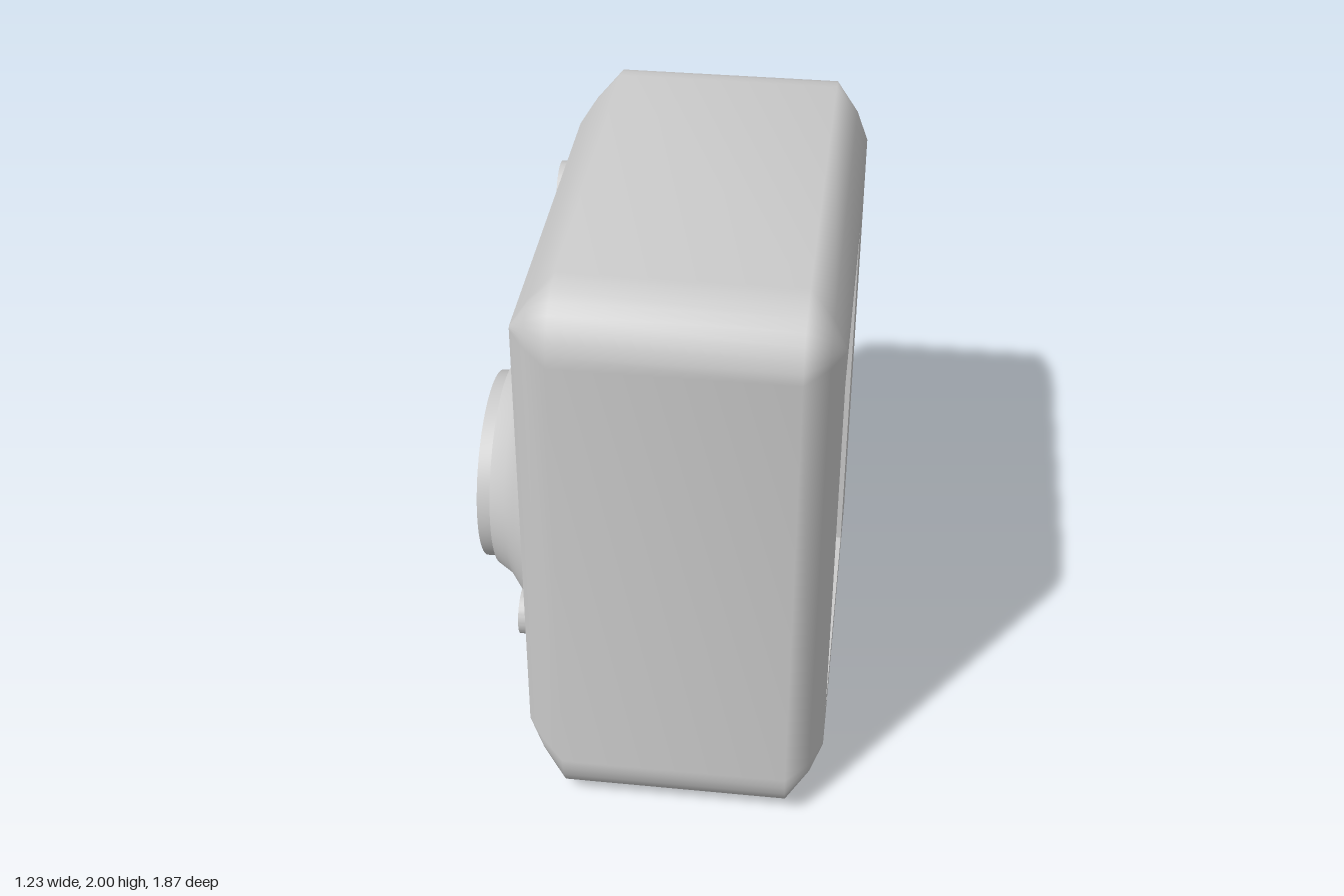
import * as THREE from 'three';
import { toCreasedNormals } from 'three/addons/utils/BufferGeometryUtils.js';

const grey = new THREE.MeshStandardMaterial({ color: 0xcccccc });
const clamp = THREE.MathUtils.clamp;
const PANEL = { z0: -0.26, z1: 0.66, y0: 0.3, y1: 1.63 };

function add(group, name, geometry) {
  const mesh = new THREE.Mesh(geometry, grey);
  mesh.name = name;
  group.add(mesh);
}

// How far the back wall swells outward at height y (finger grip)
function swell(y) {
  const steps = [[0, 0.13], [0.25, 0.13], [0.55, 0.11], [1, 0.05], [1.33, 0], [2, 0]];
  for (let i = 1; i < steps.length; i++) {
    const [ya, a] = steps[i - 1], [yb, b] = steps[i];
    if (y <= yb) return THREE.MathUtils.lerp(a, b, (y - ya) / (yb - ya));
  }
  return 0;
}

// Side outline as [z, y] points, inset by d; the swell only shows on the outermost outline
function outline(d, swollen) {
  const points = [], r = 0.205 - d, n = 8;
  const z0 = -0.8 + d, z1 = 0.935 - d, y0 = d, y1 = 2 - d;
  const corners = [[z1 - r, y0 + r, -90], [z1 - r, y1 - r, 0], [z0 + r, y1 - r, 90], [z0 + r, y0 + r, 180]];
  corners.forEach(([cz, cy, start], c) => {
    for (let i = 0; i <= n; i++) {
      const a = THREE.MathUtils.degToRad(start + 90 * i / n);
      points.push([cz + r * Math.cos(a), cy + r * Math.sin(a)]);
    }
    // extra points down the back wall
    if (c === 2) for (const y of [1.55, 1.33, 1.15, 1, 0.78, 0.55, 0.38]) points.push([z0, y]);
  });
  if (!swollen) return points;
  return points.map(([z, y]) => {
    const back = clamp((-z - 0.58) / 0.22, 0, 1);
    const low = clamp(1 - y / 0.25, 0, 1);
    const lift = 0.04 * clamp((0.74 - z) / 1.34, 0, 1) * (1 - 0.3 * back);
    return [z - swell(y) * back, y + lift * low];
  });
}

const clampToPanel = (points) =>
  points.map(([z, y]) => [clamp(z, PANEL.z0, PANEL.z1), clamp(y, PANEL.y0, PANEL.y1)]);

// Skin stretched over rings of { x, points }
function skin(rings) {
  const n = rings[0].points.length, pos = [], index = [];
  for (const { x, points } of rings) for (const [z, y] of points) pos.push(x, y, z);
  for (let i = 0; i < rings.length - 1; i++) {
    for (let j = 0; j < n; j++) {
      const a = i * n + j, b = i * n + (j + 1) % n, c = a + n, d = b + n;
      index.push(a, c, b, b, c, d);
    }
  }
  const geometry = new THREE.BufferGeometry();
  geometry.setAttribute('position', new THREE.Float32BufferAttribute(pos, 3));
  geometry.setIndex(index);
  geometry.computeVertexNormals();
  return geometry;
}

// Upright pill (a disc when h = w) raised from x0 toward -x
function pill(w, h, x0, depth, y, z) {
  const r = w / 2, s = h / 2 - r;
  const shape = new THREE.Shape();
  shape.absarc(0, s, r, 0, Math.PI);
  shape.absarc(0, -s, r, Math.PI, Math.PI * 2);
  shape.closePath();
  const geometry = new THREE.ExtrudeGeometry(shape, { depth, bevelEnabled: false, curveSegments: 16 });
  return toCreasedNormals(geometry.rotateY(-Math.PI / 2).translate(x0, y, z), 0.6);
}

// Turned part: [radius, height] profile with its axis along -x
function turned(profile, zScale) {
  const lathe = new THREE.LatheGeometry(profile.map(([r, h]) => new THREE.Vector2(r, h)), 64);
  lathe.rotateZ(Math.PI / 2).scale(1, 1, zScale).translate(0, 0.897, 0.215);
  return toCreasedNormals(lathe, 0.6);
}

export function createModel() {
  const model = new THREE.Group();
  model.name = 'instantCamera';

  // Body shell with rounded rims, ending at the panel opening
  const face = outline(0.195, false), rim = outline(0.1, false), full = outline(0, true);
  const opening = clampToPanel(face);
  add(model, 'bodyShell', skin([
    { x: -0.4, points: face }, { x: -0.34, points: rim }, { x: -0.255, points: full },
    { x: 0.495, points: full }, { x: 0.57, points: rim }, { x: 0.61, points: face },
    { x: 0.61, points: opening },
  ]));

  // Flat face that carries the lens
  const lensFace = new THREE.Shape(face.map(([z, y]) => new THREE.Vector2(z, y)));
  add(model, 'lensFace', new THREE.ShapeGeometry(lensFace).rotateY(-Math.PI / 2).translate(-0.4, 0, 0));

  // Sunken panel on the opposite face
  add(model, 'panelRecess', toCreasedNormals(
    skin([{ x: 0.61, points: opening }, { x: 0.59, points: opening }]), 0.6));
  const panel = new THREE.PlaneGeometry(PANEL.z1 - PANEL.z0, PANEL.y1 - PANEL.y0);
  panel.rotateY(Math.PI / 2).translate(0.59, (PANEL.y0 + PANEL.y1) / 2, (PANEL.z0 + PANEL.z1) / 2);
  add(model, 'panel', panel);

  // Lens: flared base, barrel ring and sunken glass
  add(model, 'lensBase', turned([[0.5, 0.4], [0.44, 0.442], [0.382, 0.486], [0.348, 0.54], [0, 0.54]], 1));
  add(model, 'lensBarrel', turned(
    [[0.318, 0.53], [0.318, 0.587], [0.165, 0.587], [0.165, 0.572], [0, 0.572]], 1.04));
  add(model, 'lensKnob', pill(0.1, 0.15, -0.575, 0.04, 0.905, -0.05));

  // Flash window and small round button
  add(model, 'flashWindow', pill(0.2, 0.42, -0.39, 0.04, 1.565, -0.345));
  add(model, 'button', pill(0.16, 0.16, -0.39, 0.04, 0.6, 0.635));

  return model;
}
